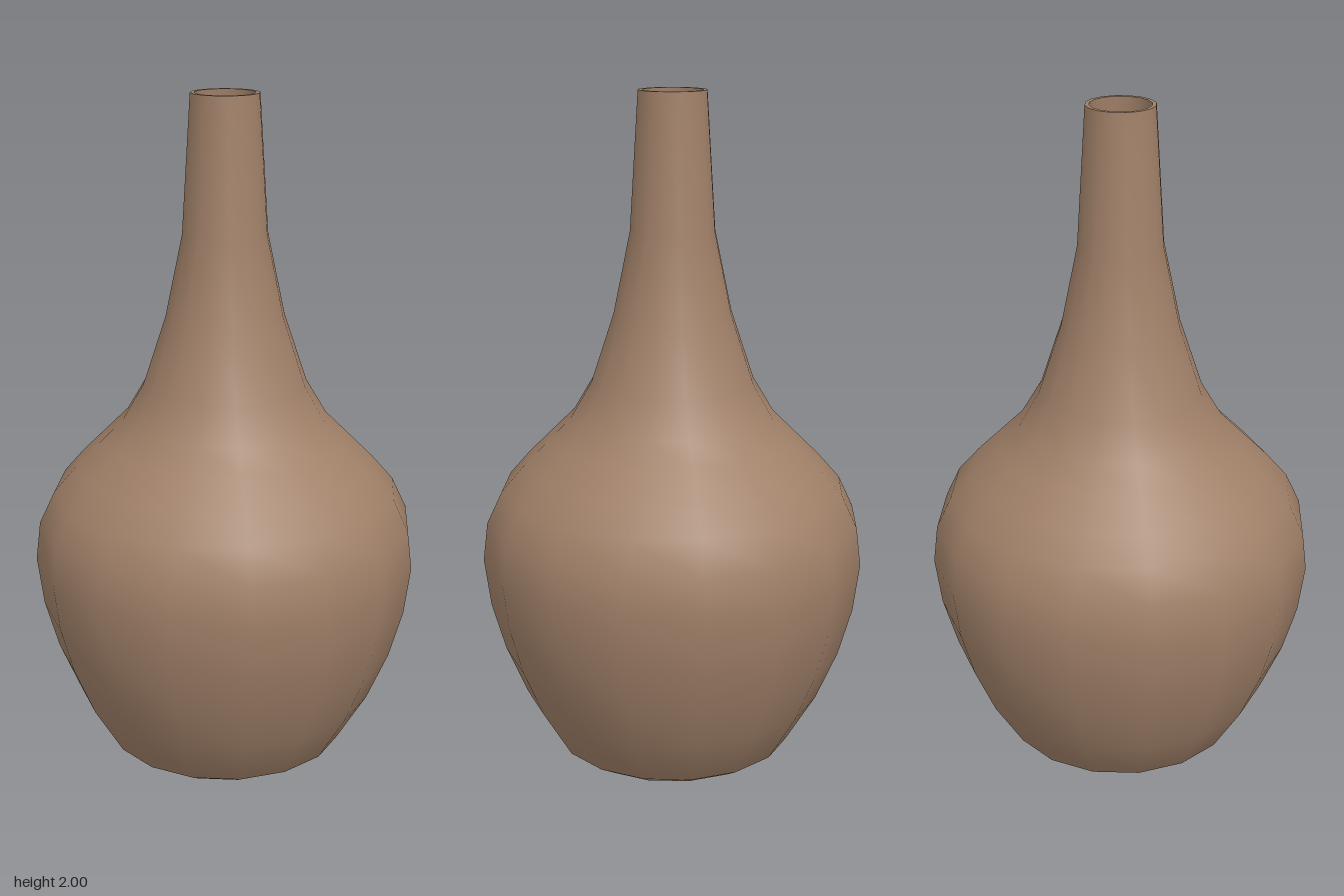
import * as THREE from 'three';

export function createModel() {
  const vase = new THREE.Group();
  vase.name = 'vase';
  const clay = new THREE.MeshStandardMaterial({ color: 0xa08068 });
  clay.name = 'brown clay';

  const sides = 16;
  const wall = 0.012;

  // Outer profile [radius, height], foot to mouth
  const profile = [
    [0.31, 0], [0.36, 0.03], [0.45, 0.18], [0.514, 0.33], [0.555, 0.475],
    [0.574, 0.62], [0.56, 0.735], [0.515, 0.83], [0.45, 0.905], [0.37, 0.985],
    [0.305, 1.05], [0.243, 1.155], [0.175, 1.36], [0.125, 1.6], [0.1, 2],
  ];
  // Inner profile, mouth to floor, set in by the wall thickness
  const inner = profile
    .map(([r, y]) => [r - wall, y === 2 ? y : Math.max(y, wall)])
    .reverse();

  // Separate lathes keep the foot and mouth edges sharp
  const turn = (name, points) => {
    const geometry = new THREE.LatheGeometry(
      points.map(([r, y]) => new THREE.Vector2(r, y)), sides);
    const mesh = new THREE.Mesh(geometry, clay);
    mesh.name = name;
    vase.add(mesh);
  };

  turn('base', [[0, 0], profile[0]]);
  turn('body', profile);
  turn('rim', [profile[profile.length - 1], inner[0]]);
  turn('innerWall', inner);
  turn('innerFloor', [inner[inner.length - 1], [0, wall]]);

  return vase;
}
